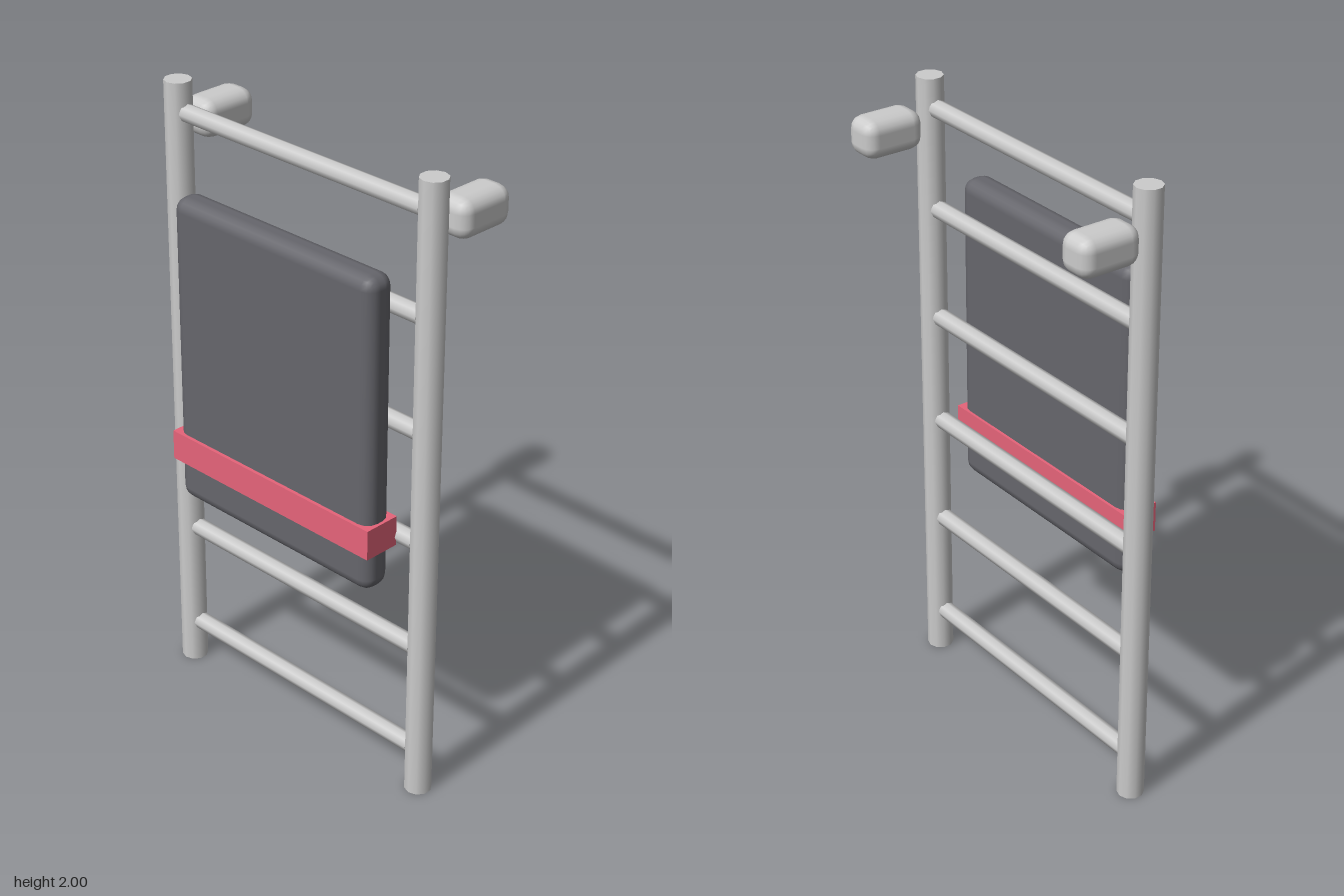
import * as THREE from 'three';
import { RoundedBoxGeometry } from 'three/addons/geometries/RoundedBoxGeometry.js';

const RAIL_X = 0.5;
const RAIL_Z = 0.058;

export function createModel() {
  const model = new THREE.Group();
  model.name = 'ladderWithPad';

  const metal = new THREE.MeshStandardMaterial({ color: 0xcccccc });
  const padMaterial = new THREE.MeshStandardMaterial({ color: 0x66666c });
  const strapMaterial = new THREE.MeshStandardMaterial({ color: 0xe6647a });

  const add = (name, geometry, material, x, y, z) => {
    const mesh = new THREE.Mesh(geometry, material);
    mesh.name = name;
    mesh.position.set(x, y, z);
    model.add(mesh);
    return mesh;
  };

  // Upright rails and the rounded blocks behind their tops
  const railGeometry = new THREE.CylinderGeometry(0.042, 0.042, 2, 10);
  const blockGeometry = new RoundedBoxGeometry(0.12, 0.12, 0.2, 2, 0.04);
  for (const [side, s] of [['left', 1], ['right', -1]]) {
    add(`${side}Rail`, railGeometry, metal, s * RAIL_X, 1, RAIL_Z);
    add(`${side}Block`, blockGeometry, metal, s * RAIL_X, 1.86, -0.1);
  }

  // Horizontal rungs, the top one set slightly closer
  const rungGeometry = new THREE.CylinderGeometry(0.028, 0.028, 0.936, 8).rotateZ(Math.PI / 2);
  [0.143, 0.503, 0.863, 1.224, 1.584, 1.905].forEach((y, i) => {
    add(`rung${i + 1}`, rungGeometry, metal, 0, y, RAIL_Z);
  });

  // Padded panel on the front of the rungs
  add('pad', new RoundedBoxGeometry(0.8, 1, 0.1, 2, 0.04), padMaterial, 0, 1.203, 0.138);

  // Strap around the lower part of the pad
  add('strap', new THREE.BoxGeometry(0.82, 0.096, 0.12), strapMaterial, 0, 0.883, 0.139);

  return model;
}
